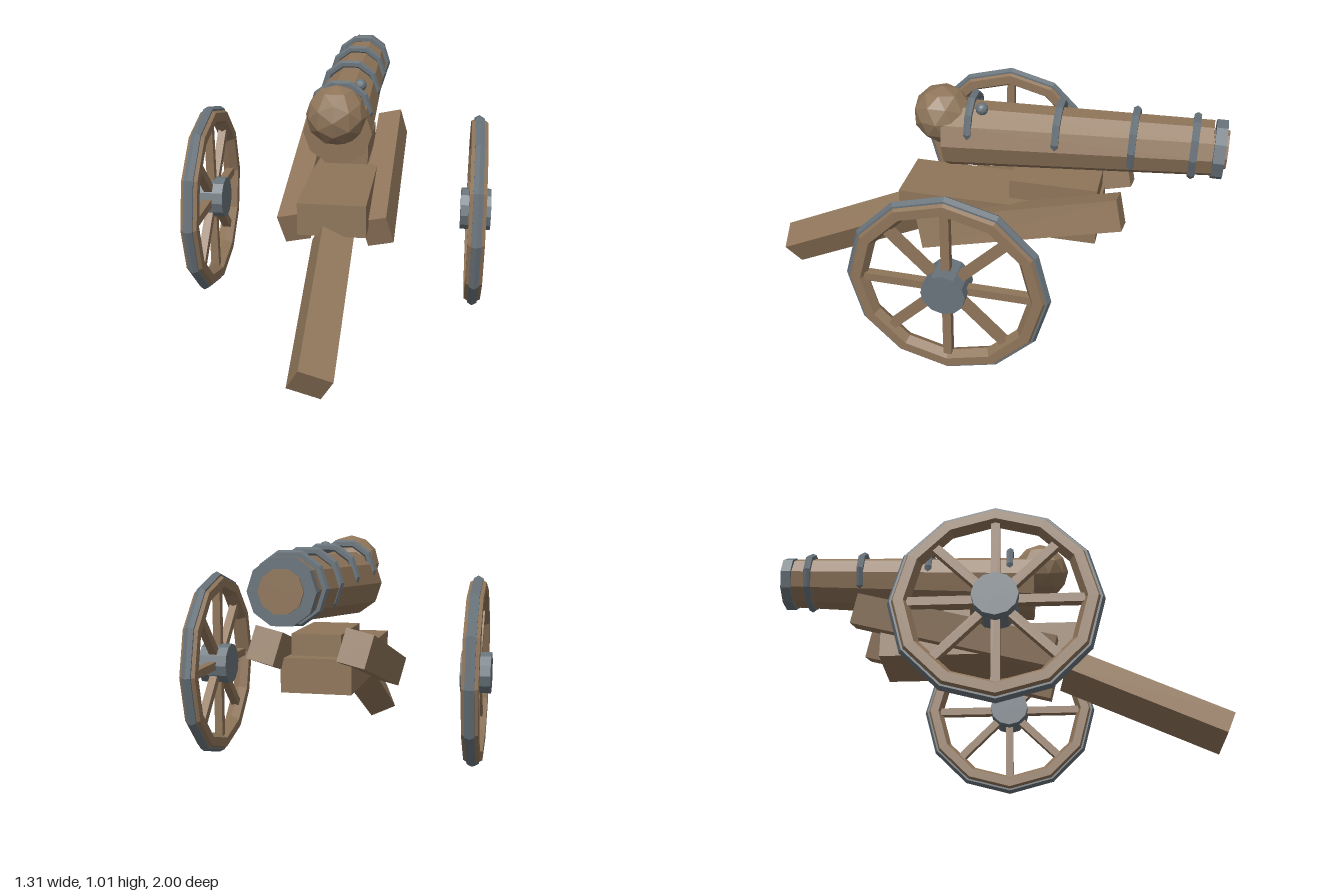
import * as THREE from 'three';

export function createModel() {
  const model = new THREE.Group();
  model.name = 'fieldCannon';

  const wood = new THREE.MeshStandardMaterial({ color: 0x8f755a, flatShading: true });
  wood.name = 'wood';
  const iron = new THREE.MeshStandardMaterial({ color: 0x68737a, flatShading: true });
  iron.name = 'iron';

  function add(parent, name, geometry, material, x = 0, y = 0, z = 0) {
    const mesh = new THREE.Mesh(geometry, material);
    mesh.name = name;
    mesh.position.set(x, y, z);
    parent.add(mesh);
    return mesh;
  }

  // Cylinder lying along z, its first radius at the muzzle end, with a flat edge on top
  function lengthwise(rFront, rRear, length, sides = 10) {
    return new THREE.CylinderGeometry(rFront, rRear, length, sides)
      .rotateY(Math.PI / sides)
      .rotateX(-Math.PI / 2);
  }

  // Tapered barrel, raised slightly at the muzzle
  const barrel = add(model, 'barrel', lengthwise(0.114, 0.145, 1.107), wood, 0, 0.832, -0.39);
  barrel.rotation.x = 0.057;
  add(model, 'breechBall', new THREE.IcosahedronGeometry(0.127, 1), wood, 0, 0.885, 0.19);
  add(model, 'muzzleBand', lengthwise(0.122, 0.122, 0.045), iron, 0, 0.86, -0.967);
  add(model, 'muzzlePlug', lengthwise(0.08, 0.08, 0.06), wood, 0, 0.862, -0.97);

  // Iron bands set level along the barrel
  for (const z of [0.053, -0.315, -0.625, -0.868]) {
    add(model, 'barrelBand', new THREE.TorusGeometry(0.122, 0.017, 6, 10), iron, 0, 0.863, z);
  }
  add(model, 'fuseKnob', new THREE.IcosahedronGeometry(0.027, 1), iron, 0.078, 0.965, 0);

  // Carriage bed and the block under the barrel
  add(model, 'carriageBed', new THREE.BoxGeometry(0.285, 0.14, 0.87), wood, 0, 0.485, -0.075);
  add(model, 'barrelBlock', new THREE.BoxGeometry(0.2, 0.087, 0.375), wood, 0, 0.607, -0.312);

  // Sloping side beams, both rolled the same way
  for (const x of [-0.178, 0.178]) {
    const beam = add(model, 'sideBeam', new THREE.BoxGeometry(0.112, 0.134, 0.88), wood, x, 0.505, -0.185);
    beam.rotation.set(0.258, 0, 0.236);
  }

  // Trail beam reaching down to the ground
  const trail = add(model, 'trail', new THREE.BoxGeometry(0.14, 0.13, 0.725), wood, 0, 0.238, 0.63);
  trail.rotation.set(0.435, 0, -0.436);

  // Wheels: iron tyre, wooden rim, eight spokes, iron hub
  for (const side of [-1, 1]) {
    const wheel = new THREE.Group();
    wheel.name = side > 0 ? 'leftWheel' : 'rightWheel';
    wheel.position.set(side * 0.59, 0.43, 0.018);
    wheel.rotation.y = Math.PI / 2;
    model.add(wheel);
    add(wheel, 'tyre', new THREE.TorusGeometry(0.398, 0.023, 6, 12), iron);
    add(wheel, 'rim', new THREE.TorusGeometry(0.373, 0.04, 6, 12), wood);
    for (let i = 0; i < 4; i++) {
      const spoke = add(wheel, 'spokePair', new THREE.BoxGeometry(0.036, 0.7, 0.036), wood);
      spoke.rotation.z = (i * Math.PI) / 4;
    }
    add(wheel, 'hub', new THREE.CylinderGeometry(0.091, 0.091, 0.13, 12).rotateX(Math.PI / 2), iron);
  }

  return model;
}
